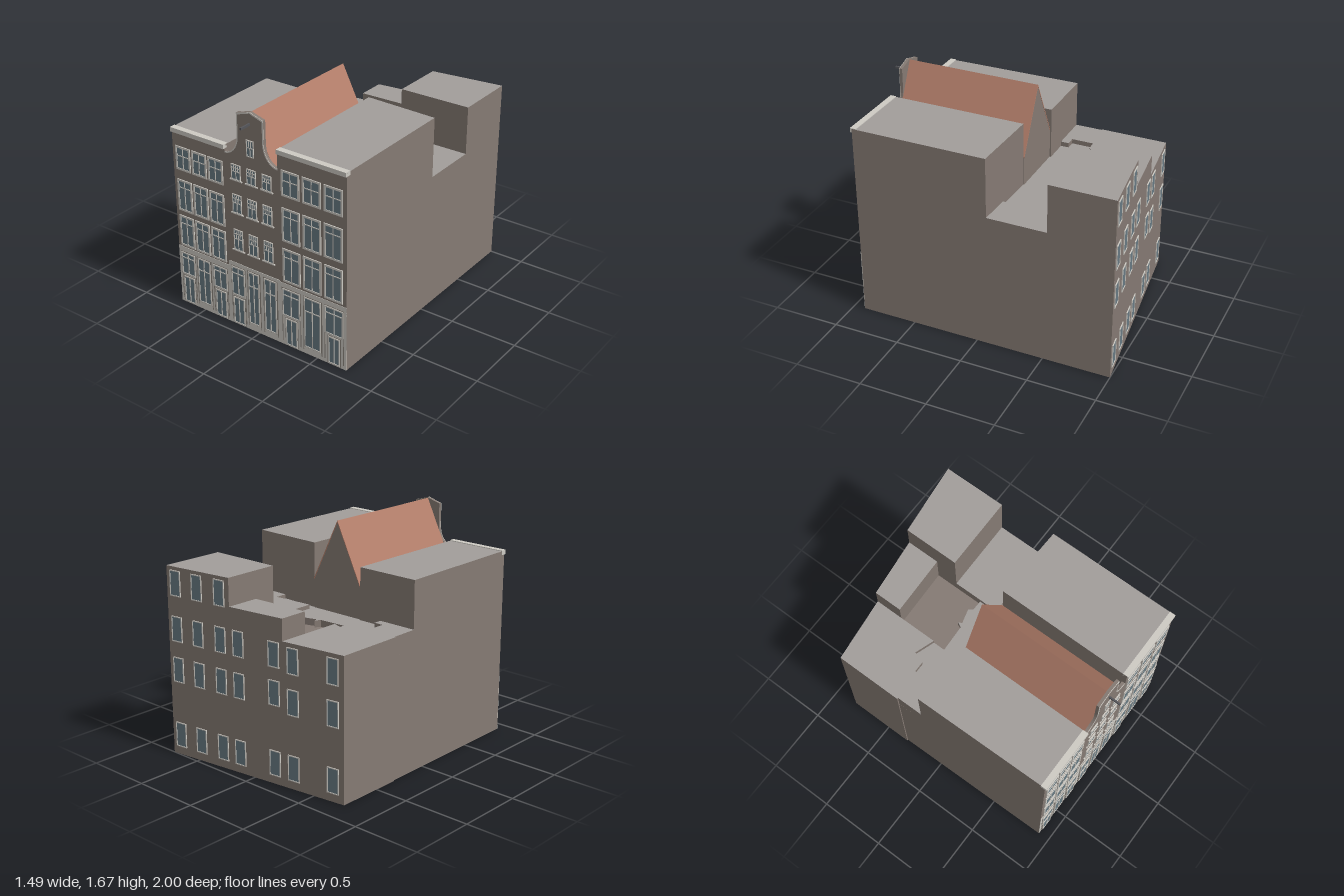
import * as THREE from 'three';

const mat = (name, color, extra = {}) => {
  const m = new THREE.MeshStandardMaterial({ color, ...extra });
  m.name = name;
  return m;
};

export function createModel() {
  const brick = mat('brick', 0x857a73);
  const flat = mat('flatRoof', 0xa19d9a);
  const stone = mat('paleStone', 0xcdcac3);
  const glass = mat('glass', 0x687a83);
  const tile = mat('roofTile', 0xb47f6b);
  const taupe = mat('taupeTrim', 0x8f8880);
  const metal = mat('darkMetal', 0x55565a);

  const root = new THREE.Group();
  root.name = 'canalHouses';
  const F = 0.912; // facade plane

  const group = (name, parent = root) => {
    const g = new THREE.Group();
    g.name = name;
    parent.add(g);
    return g;
  };
  const add = (name, geo, m, parent = root) => {
    const mesh = new THREE.Mesh(geo, m);
    mesh.name = name;
    parent.add(mesh);
    return mesh;
  };
  const shapeOf = (pts) => new THREE.Shape(pts.map(([x, y]) => new THREE.Vector2(x, y)));
  const rect = (x0, x1, y0, y1) => [[x0, y0], [x1, y0], [x1, y1], [x0, y1]];
  // upright slab: an xy outline between two z values
  const slab = (name, shape, z0, z1, m, parent) =>
    add(name, new THREE.ExtrudeGeometry(shape, { depth: z1 - z0, bevelEnabled: false, curveSegments: 10 })
      .translate(0, 0, z0), m, parent);
  const plate = (name, x0, x1, y0, y1, z0, z1, m, parent) =>
    slab(name, shapeOf(rect(x0, x1, y0, y1)), z0, z1, m, parent);
  // building block: an xz plan raised between two heights
  const block = (name, plan, y0, y1, m = [flat, brick]) =>
    add(name, new THREE.ExtrudeGeometry(shapeOf(plan), { depth: y1 - y0, bevelEnabled: false })
      .rotateX(Math.PI / 2).translate(0, y1, 0), m);

  // window: glass plate behind a frame with pane holes; rows = [height share, columns] from the bottom
  const win = (parent, x0, x1, y0, y1, z, { w = 0.014, bar = 0.006, rows = [[1, 1]], m = stone } = {}) => {
    const g = group('window', parent);
    const s = shapeOf(rect(x0, x1, y0, y1));
    const W = x1 - x0 - 2 * w, H = y1 - y0 - 2 * w;
    let y = y0 + w;
    rows.forEach(([share, cols], r) => {
      const top = y + H * share;
      for (let c = 0; c < cols; c++) {
        const a = x0 + w + (W * c) / cols + (c ? bar / 2 : 0);
        const b = x0 + w + (W * (c + 1)) / cols - (c < cols - 1 ? bar / 2 : 0);
        const lo = y + (r ? bar / 2 : 0), hi = top - (r < rows.length - 1 ? bar / 2 : 0);
        s.holes.push(new THREE.Path(rect(a, b, lo, hi).reverse().map((p) => new THREE.Vector2(...p))));
      }
      y = top;
    });
    slab('windowFrame', s, z, z + 0.007, m, g);
    plate('windowGlass', x0 + 0.003, x1 - 0.003, y0 + 0.003, y1 - 0.003, z, z + 0.003, glass, g);
  };

  // ---- building volumes ----
  const L = -0.255, R = 0.19, E = 0.74;
  const backZ = (x) => -0.825 - 0.1178 * (x + 0.745);
  block('groundMass', [[-0.722, F], [E, F], [E, -1], [-0.745, -0.825], [-0.745, -0.32], [-0.737, -0.32]], 0, 0.9, brick);
  block('westFrontHouse', [[-0.722, F], [L, F], [L, -0.12], [-0.735, -0.12]], 0.9, 1.38);
  block('eastFrontHouse', [[R, F], [E, F], [E, -0.085], [R, -0.105]], 0.9, 1.475);
  block('middleFrontHouse', rect(L, R, -0.11, F - 0.004), 0.9, 1.21, brick);
  block('eastRearHouse', [[R, -0.52], [E, -0.525], [E, -1], [R, backZ(R)]], 0.9, 1.39);
  block('middleRearHouse', [[L, -0.67], [R, -0.685], [R, backZ(R)], [L, backZ(L)]], 0.9, 1.19);
  block('westRearHouse', [[-0.735, -0.12], [-0.44, -0.12], [-0.44, -0.18], [-0.51, -0.18], [-0.51, -0.345],
    [-0.43, -0.345], [-0.4, -0.43], [L, -0.38], [L, backZ(L)], [-0.745, -0.825], [-0.745, -0.32], [-0.736, -0.32]], 0.9, 1.035);
  block('eastTerrace', [[R, -0.16], [0.5, -0.18], [0.5, -0.09], [E, -0.08], [E, -0.53], [R, -0.53]], 0.9, 1.03);
  block('courtTerrace', [[-0.52, -0.1], [0.51, -0.08], [0.51, -0.3], [0.11, -0.31], [0.09, -0.34], [-0.02, -0.31],
    [-0.03, -0.34], [-0.05, -0.3], [L, -0.29], [L, -0.44], [-0.52, -0.44]], 0.9, 1.0);
  block('courtFloor', rect(-0.27, 0.2, -0.7, -0.25), 0.88, 0.95, brick);

  // ---- pitched roof ----
  const ridge = -0.035, eave = 1.22;
  slab('roofGable', shapeOf([[L, 1.2], [R, 1.2], [R, eave - 0.01], [ridge, 1.66], [L, eave - 0.01]]), -0.11, 0.886, brick);
  slab('tiledRoof', shapeOf([[L, eave], [L, eave - 0.012], [ridge, 1.657], [R, eave - 0.012], [R, eave], [ridge, 1.67]]),
    -0.112, 0.888, tile);

  // ---- neck gable ----
  const gable = (base, d) => {
    const s = new THREE.Shape();
    const nl = -0.143 + d, nr = 0.08 - d;
    s.moveTo(L, base);
    s.lineTo(R, base);
    s.lineTo(R, 1.335 - d);
    s.bezierCurveTo(0.135 - d / 2, 1.335 - d, nr, 1.39, nr, 1.48);
    s.lineTo(nr, 1.643 - d);
    s.quadraticCurveTo(0.03, 1.655 - d, -0.031, 1.675 - d);
    s.quadraticCurveTo(-0.09, 1.655 - d, nl, 1.643 - d);
    s.lineTo(nl, 1.48);
    s.bezierCurveTo(nl, 1.39, -0.2 + d / 2, 1.335 - d, L, 1.335 - d);
    return s;
  };
  slab('gableWall', gable(1.15, 0), 0.886, F - 0.004, brick);
  slab('gableEdge', gable(1.2, 0), F - 0.004, F - 0.001, stone);
  slab('gableFace', gable(0.01, 0.01), F - 0.004, F, brick);
  const beam = group('hoistBeam');
  add('beamBar', new THREE.BoxGeometry(0.012, 0.016, 0.12).translate(-0.031, 1.59, 0.94), metal, beam);

  // ---- cornices ----
  plate('westCornice', -0.725, L, 1.352, 1.385, 0.88, 0.924, stone);
  plate('eastCornice', R, E, 1.448, 1.48, 0.88, 0.924, stone);

  // ---- upper front windows ----
  const wide = [[0.78, 2], [0.22, 2]], square = [[0.62, 2], [0.38, 2]];
  const west = group('westWindows'), east = group('eastWindows'), mid = group('middleWindows');
  for (let i = 0; i < 3; i++) {
    const xw = -0.695 + i * 0.145, xe = 0.22 + i * 0.171, xm = -0.16 + i * 0.13;
    [[1.075, 1.255, square], [0.757, 1, wide], [0.475, 0.717, wide]].forEach(([a, b, rows]) =>
      win(west, xw, xw + 0.13, a, b, F, { rows }));
    [[1.157, 1.345, square], [0.82, 1.07, wide], [0.51, 0.765, wide]].forEach(([a, b, rows]) =>
      win(east, xe, xe + 0.147, a, b, F, { rows }));
    [[1.15, 1.265], [0.897, 1.04], [0.61, 0.77]].forEach(([a, b]) => {
      win(mid, xm - 0.039, xm + 0.039, a, b, F, { w: 0.006, bar: 0.005, rows: [[0.55, 2], [0.25, 4], [0.2, 4]] });
      plate('sill', xm - 0.053, xm + 0.053, a - 0.006, a + 0.002, F, F + 0.009, stone, mid);
    });
  }
  win(mid, -0.061, -0.001, 1.355, 1.475, F, { w: 0.006, bar: 0.005, rows: [[0.55, 2], [0.45, 3]] });

  // ---- pale ground floor with shop windows and doors ----
  const shop = group('groundFloor');
  plate('westPlinthWall', -0.722, L, 0, 0.462, F - 0.002, F + 0.003, stone, shop);
  plate('middlePlinthWall', L, R, 0, 0.502, F - 0.002, F + 0.003, stone, shop);
  plate('eastPlinthWall', R, E, 0, 0.492, F - 0.002, F + 0.003, stone, shop);
  const Z = F + 0.003;
  const frame = (x0, x1, y0, y1, rows) => {
    win(shop, x0 + 0.006, x1 - 0.006, y0 + 0.005, y1 - 0.006, Z, { w: 0.009, bar: 0.007, rows });
    plate('surround', x0, x1, y0, y1, Z, Z + 0.002, taupe, shop);
  };
  const pilasters = (x0, x1, y1) => [x0, x1 - 0.006].forEach((x) =>
    plate('pilasterLine', x, x + 0.006, 0.03, y1, Z, Z + 0.002, taupe, shop));
  // shop window above a low basement door
  [[-0.702, -0.568, 0.425], [-0.405, -0.27, 0.425], [-0.238, -0.11, 0.475], [0.207, 0.367, 0.46], [0.563, 0.723, 0.46]]
    .forEach(([x0, x1, top]) => {
      const c = (x0 + x1) / 2;
      frame(x0, x1, 0.237, top, [[0.8, 2], [0.2, 2]]);
      frame(c - 0.055, c + 0.055, 0.005, 0.23, [[1, 2]]);
      pilasters(x0, x1, 0.237);
    });
  // tall entrance doors with fanlights
  [[-0.557, -0.42, 0.425, 0.75], [-0.095, 0.022, 0.48, 0.74], [0.045, 0.172, 0.48, 0.74], [0.385, 0.545, 0.46, 0.74]]
    .forEach(([x0, x1, top, split]) => {
      frame(x0 + 0.005, x1 - 0.005, 0.052, top, [[split, 2], [1 - split, 2]]);
      pilasters(x0, x1, top);
    });

  // ---- rear windows, set on the slanted back wall ----
  const rear = group('rearWindows');
  const low = [[0.06, 0.245], [0.53, 0.715], [0.82, 1.005]];
  const high = [[0.06, 0.245], [0.55, 0.735], [0.85, 1.035]];
  const top = [1.18, 1.365];
  [[0.664, [...high, top]], [0.473, [...high, top]], [0.275, [...high, top]], [0.12, high],
    [-0.18, [low[0], [0.57, 0.75], [0.84, 1.02]]], [-0.337, low], [-0.657, low]].forEach(([x, rows]) => {
    const col = group('rearColumn', rear);
    col.position.set(x, 0, backZ(x));
    col.rotation.y = Math.atan2(-0.117, -0.993);
    rows.forEach(([a, b]) => win(col, -0.047, 0.047, a, Math.min(b, 1.02 + (b > 1.02 ? b - 1.02 : 0)), 0, { w: 0.007 }));
  });

  return root;
}
